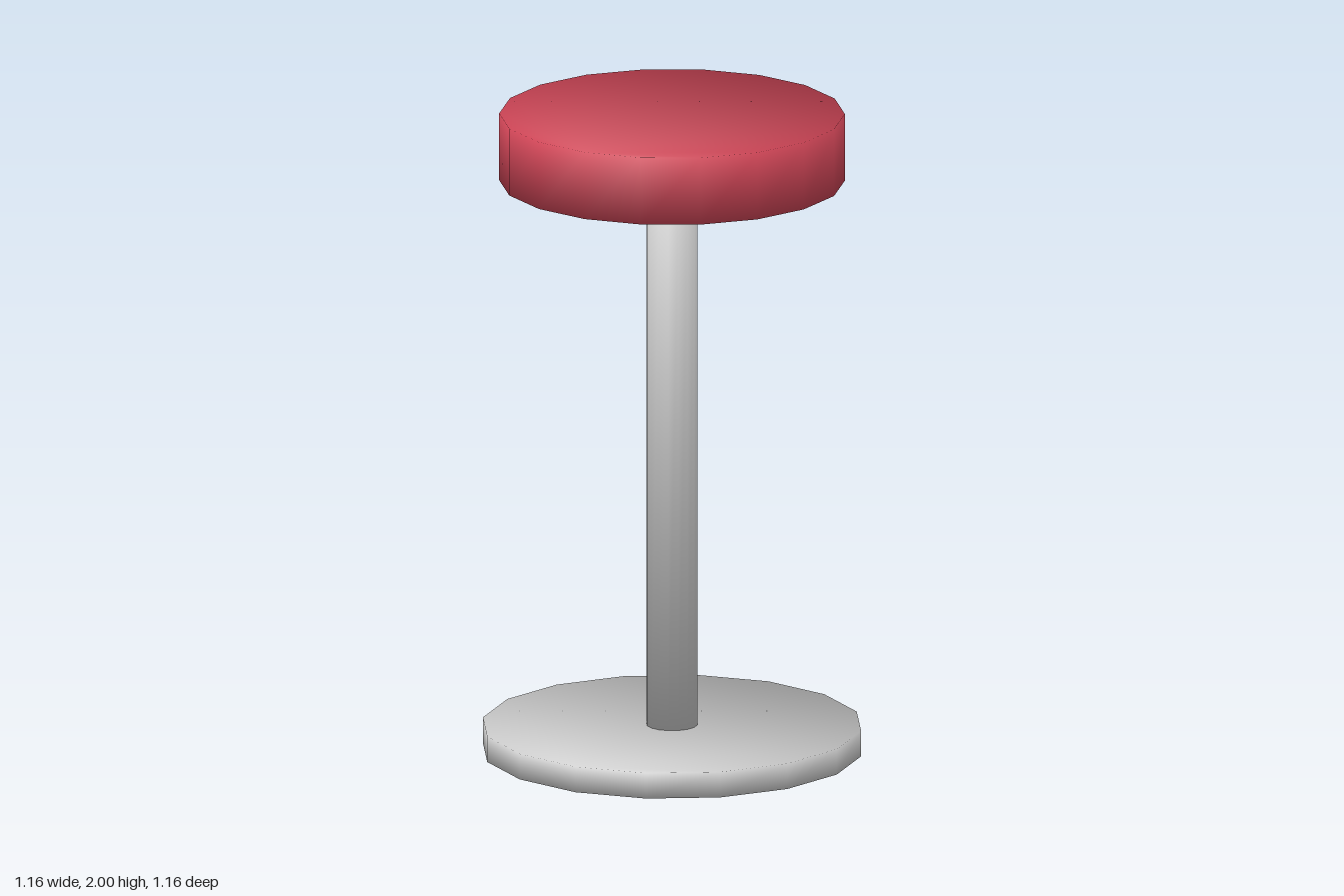
import * as THREE from 'three';

// Closed prism whose rim normals lean outward at 45 degrees, so caps and sides shade as one soft form
function softDisc(name, radius, bottom, top, sides, color) {
  const positions = [], normals = [], index = [];
  const lean = Math.SQRT1_2;
  for (let i = 0; i < sides; i++) {
    const a = (i / sides) * Math.PI * 2;
    const s = Math.sin(a), c = Math.cos(a);
    positions.push(s * radius, bottom, c * radius, s * radius, top, c * radius);
    normals.push(s * lean, -lean, c * lean, s * lean, lean, c * lean);
    // side wall
    const b0 = 2 * i, t0 = b0 + 1;
    const b1 = 2 * ((i + 1) % sides), t1 = b1 + 1;
    index.push(b0, b1, t1, b0, t1, t0);
    // caps, fanned from the first corner
    if (i > 0 && i < sides - 1) index.push(1, t0, t1, 0, b1, b0);
  }
  const geometry = new THREE.BufferGeometry();
  geometry.setAttribute('position', new THREE.Float32BufferAttribute(positions, 3));
  geometry.setAttribute('normal', new THREE.Float32BufferAttribute(normals, 3));
  geometry.setIndex(index);
  const mesh = new THREE.Mesh(geometry, new THREE.MeshStandardMaterial({ color }));
  mesh.name = name;
  return mesh;
}

export function createModel() {
  const stool = new THREE.Group();
  stool.name = 'barStool';
  stool.add(
    softDisc('base', 0.58, 0, 0.08, 16, 0xcccccc),
    softDisc('pole', 0.078, 0.08, 1.79, 16, 0xcccccc),
    softDisc('seat', 0.525, 1.79, 2, 18, 0xcc4455),
  );
  return stool;
}
